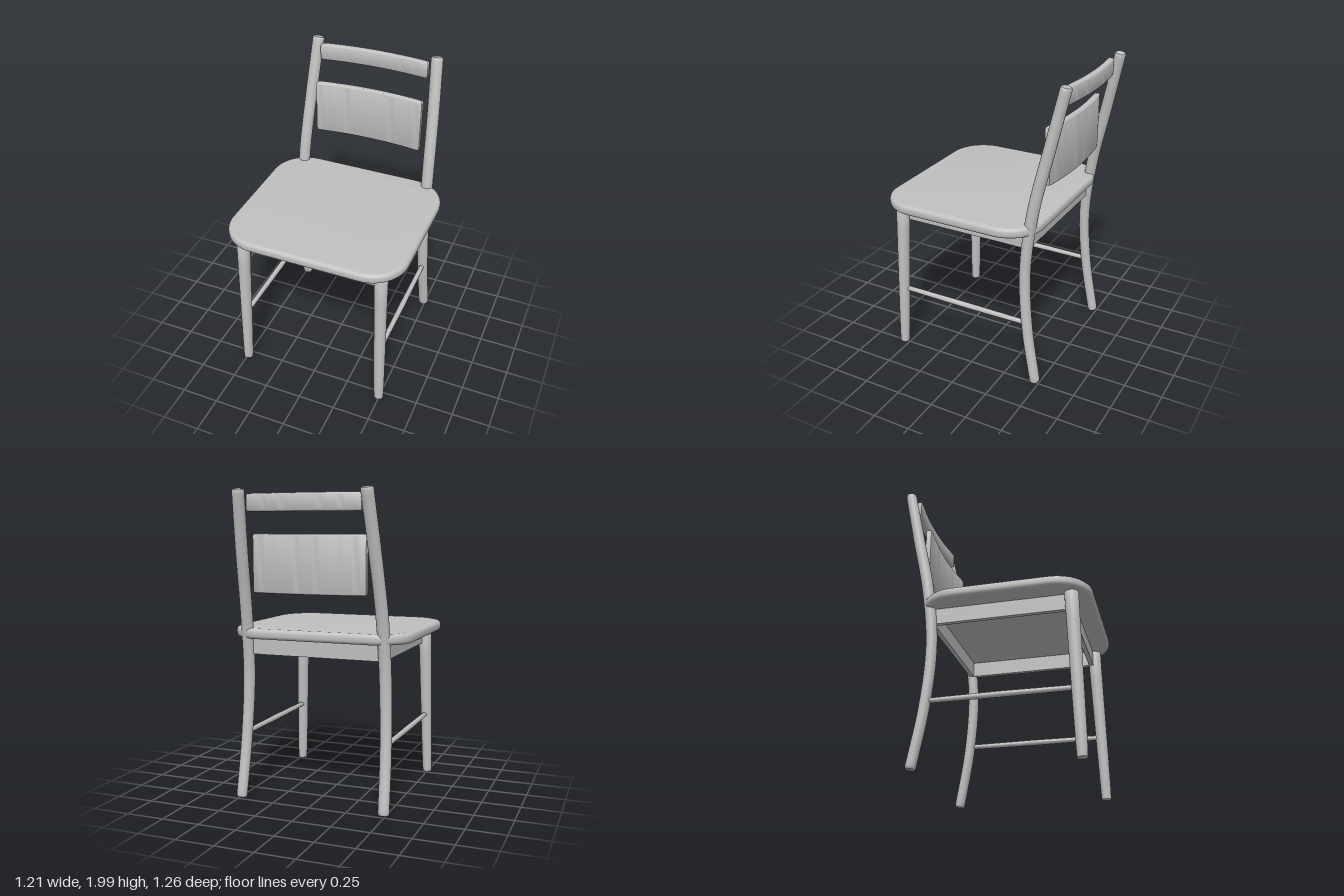
import * as THREE from 'three';
import { toCreasedNormals } from 'three/addons/utils/BufferGeometryUtils.js';

const paint = new THREE.MeshStandardMaterial({ color: 0xc0c0c0 });
paint.name = 'grey paint';

function part(name, geometry) {
  const mesh = new THREE.Mesh(geometry, paint);
  mesh.name = name;
  return mesh;
}

// Round bar along a smooth path; each point is [x, y, z, widthRadius, depthRadius]
function bar(points, steps, sides = 20) {
  const curve = new THREE.CatmullRomCurve3(points.map(p => new THREE.Vector3(p[0], p[1], p[2])));
  const radius = (t, k) => {
    const f = t * (points.length - 1);
    const i = Math.min(Math.floor(f), points.length - 2);
    return THREE.MathUtils.lerp(points[i][k], points[i + 1][k], f - i);
  };
  // Rings as [t, scale], with softened, closed ends
  const end = [[0, 0], [0, 0.84], [0.003, 0.95], [0.008, 1]];
  const rings = [...end];
  for (let i = 1; i < steps; i++) rings.push([i / steps, 1]);
  for (const [t, s] of [...end].reverse()) rings.push([1 - t, s]);

  const pos = [], index = [];
  rings.forEach(([t, s], i) => {
    const c = curve.getPoint(t), tan = curve.getTangent(t);
    const side = new THREE.Vector3(1, 0, 0).addScaledVector(tan, -tan.x).normalize();
    const up = new THREE.Vector3().crossVectors(side, tan);
    for (let j = 0; j < sides; j++) {
      const a = (j / sides) * Math.PI * 2;
      const p = c.clone()
        .addScaledVector(side, Math.cos(a) * s * radius(t, 3))
        .addScaledVector(up, Math.sin(a) * s * radius(t, 4));
      pos.push(p.x, p.y, p.z);
      if (i === rings.length - 1) continue;
      const k = (j + 1) % sides, n = i * sides;
      index.push(n + j, n + sides + j, n + k, n + k, n + sides + j, n + sides + k);
    }
  });
  const g = new THREE.BufferGeometry();
  g.setAttribute('position', new THREE.Float32BufferAttribute(pos, 3));
  g.setIndex(index);
  return toCreasedNormals(g, 0.7);
}

// Plan outline (x, -z) raised from y0 to y1 with rounded edges of size r
function slab(shape, y0, y1, r) {
  const g = new THREE.ExtrudeGeometry(shape, {
    depth: y1 - y0 - 2 * r, bevelEnabled: true, bevelSize: r, bevelOffset: -r,
    bevelThickness: r, bevelSegments: 5, curveSegments: 14,
  });
  g.rotateX(-Math.PI / 2).translate(0, y0 + r, 0);
  return toCreasedNormals(g, 0.6);
}

function seatOutline(w, back, front, r) {
  const s = new THREE.Shape(), q = Math.PI / 2;
  s.absarc(w - r, -back - r, r, 0, q);
  s.absarc(-w + r, -back - r, r, q, 2 * q);
  s.absarc(-w + r, -front + r, r, 2 * q, 3 * q);
  s.absarc(w - r, -front + r, r, 3 * q, 4 * q);
  s.closePath();
  return s;
}

// Bowed slat outline, centre pushed backwards
function slatOutline(w, zEnd, bow, half) {
  const n = 24, front = [], back = [];
  for (let i = 0; i <= n; i++) {
    const u = -1 + (2 * i) / n;
    const y = -zEnd + bow * (1 - u * u);
    const h = i === 0 || i === n ? half * 0.75 : half;
    front.push(new THREE.Vector2(u * w, y - h));
    back.push(new THREE.Vector2(u * w, y + h));
  }
  return new THREE.Shape([...front, ...back.reverse()]);
}

export function createModel() {
  const chair = new THREE.Group();
  chair.name = 'chair';

  chair.add(part('seat', slab(seatOutline(0.605, -0.46, 0.63, 0.24), 1.055, 1.123, 0.026)));
  chair.add(part('topRail', slab(slatOutline(0.373, -0.55, 0.03, 0.024), 1.855, 1.965, 0.014)));
  chair.add(part('backPanel', slab(slatOutline(0.373, -0.468, 0.03, 0.023), 1.355, 1.722, 0.012)));

  // Apron frame under the seat
  const apron = new THREE.Group();
  apron.name = 'apron';
  for (const z of [0.49, -0.385]) {
    const rail = part('crossApron', new THREE.BoxGeometry(0.92, 0.11, 0.03));
    rail.position.set(0, 1.007, z);
    apron.add(rail);
  }
  for (const s of [-1, 1]) {
    const rail = part('sideApron', new THREE.BoxGeometry(0.03, 0.11, 0.875));
    rail.position.set(s * 0.445, 1.007, 0.0525);
    apron.add(rail);
  }
  chair.add(apron);

  for (const s of [-1, 1]) {
    const side = s > 0 ? 'left' : 'right';
    // Straight tapered front leg
    chair.add(part(side + 'FrontLeg', bar([
      [s * 0.495, 0.008, 0.542, 0.031, 0.031],
      [s * 0.47, 1.07, 0.51, 0.045, 0.045],
    ], 6)));
    // Curved back leg running up into the back post
    chair.add(part(side + 'BackPost', bar([
      [s * 0.488, 0.01, -0.47, 0.036, 0.033],
      [s * 0.478, 0.4, -0.404, 0.037, 0.034],
      [s * 0.466, 0.8, -0.379, 0.039, 0.035],
      [s * 0.457, 1.2, -0.422, 0.04, 0.037],
      [s * 0.438, 1.6, -0.509, 0.04, 0.037],
      [s * 0.413, 1.99, -0.595, 0.04, 0.035],
    ], 40)));
    // Side stretcher between the legs
    chair.add(part(side + 'Stretcher', bar([
      [s * 0.48, 0.432, 0.53, 0.016, 0.016],
      [s * 0.48, 0.432, 0.06, 0.019, 0.019],
      [s * 0.478, 0.432, -0.4, 0.016, 0.016],
    ], 8, 14)));
  }
  return chair;
}
